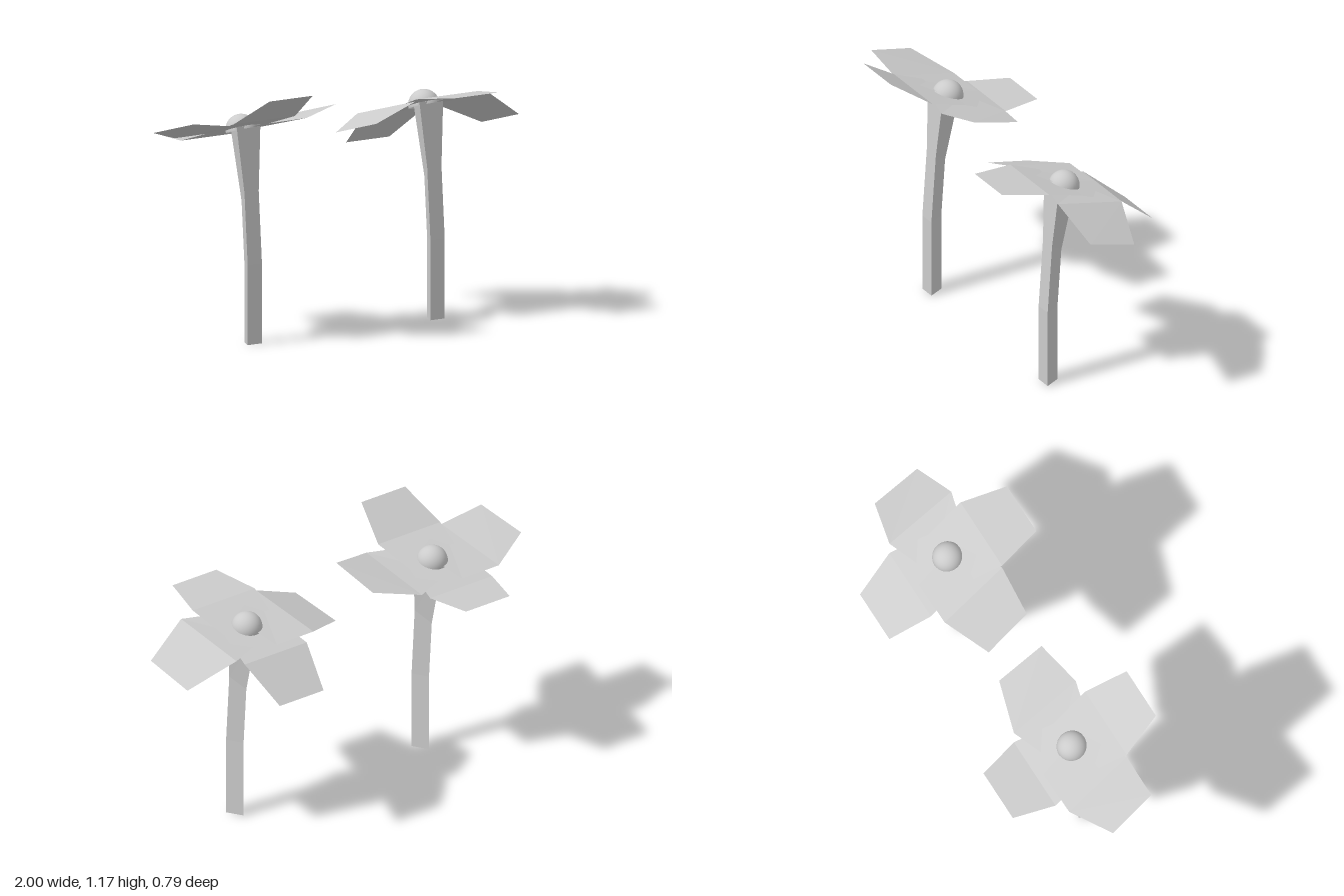
import * as THREE from 'three';

const grey = new THREE.MeshStandardMaterial({ color: 0xcccccc, flatShading: true, side: THREE.DoubleSide });
const smooth = new THREE.MeshStandardMaterial({ color: 0xcccccc, side: THREE.DoubleSide });

const SLOPE = 0.32; // backward tilt of the flower head
const headY = (z) => 0.984 + SLOPE * z;

// Joins equal-length cross-sections into a faceted surface
function loft(rows, closed, caps) {
  const n = rows[0].length;
  const index = [];
  for (let r = 0; r < rows.length - 1; r++) {
    for (let i = 0; i < (closed ? n : n - 1); i++) {
      const a = r * n + i, b = r * n + (i + 1) % n;
      index.push(a, b, b + n, a, b + n, a + n);
    }
  }
  if (caps) {
    const t = (rows.length - 1) * n;
    for (let i = 1; i < n - 1; i++) index.push(0, i + 1, i, t, t + i, t + i + 1);
  }
  const g = new THREE.BufferGeometry();
  g.setAttribute('position', new THREE.Float32BufferAttribute(rows.flat(2), 3));
  g.setIndex(index);
  const flat = g.toNonIndexed();
  flat.computeVertexNormals();
  return flat;
}

function addMesh(group, name, geometry, material = grey) {
  const mesh = new THREE.Mesh(geometry, material);
  mesh.name = name;
  group.add(mesh);
  return mesh;
}

// Petal row lying across x
const across = (half, y, z) => [[-half, y, z], [half, y, z]];

function createFlower(name, x, tips) {
  const flower = new THREE.Group();
  flower.name = name;
  flower.position.x = x;

  // Triangular stem, flat in front, ridge at the back, flaring at the top
  const section = (half, zFront, yFront, zBack, yBack) =>
    [[-half, yFront, zFront], [half, yFront, zFront], [0, yBack, zBack]];
  addMesh(flower, 'stem', loft([
    section(0.042, 0.105, 0, 0.03, 0),
    section(0.042, 0.105, 0.37, 0.03, 0.37),
    section(0.042, 0.082, 0.7, 0.01, 0.65),
    section(0.07, 0.06, headY(0.06), -0.065, headY(-0.065)),
  ], true, true));

  // Front and back petals, sharing a narrow waist
  const waist = across(0.145, headY(-0.015), -0.015);
  addMesh(flower, 'frontPetal', loft([
    waist, across(0.18, 1.043, 0.175), across(0.127, tips.front[0], tips.front[1])]));
  addMesh(flower, 'backPetal', loft([
    waist, across(0.18, 0.918, -0.205), across(0.127, tips.back[0], tips.back[1])]));

  // Side petals, slightly twisted; each row runs from back to front
  addMesh(flower, 'rightPetal', loft([
    [[-0.03, 0.94, -0.175], [0.03, 1.01, 0.055]],
    [[-0.245, 0.94, -0.172], [-0.185, 1.033, 0.172]],
    [[-0.457, tips.right, -0.068], [-0.41, tips.right + 0.065, 0.165]]]));
  addMesh(flower, 'leftPetal', loft([
    [[-0.01, 0.945, -0.1], [0.02, 1.01, 0.11]],
    [[0.212, 0.937, -0.185], [0.252, 1.025, 0.17]],
    [[0.445, tips.left, -0.12], [0.467, tips.left + 0.065, 0.12]]]));

  // Domed centre, tilted with the head
  const dome = addMesh(flower, 'flowerCentre',
    new THREE.SphereGeometry(0.072, 32, 12, 0, Math.PI * 2, 0, Math.PI * 0.52), smooth);
  dome.position.set(0.006, 0.976, 0);
  dome.rotation.x = -Math.atan(SLOPE);
  return flower;
}

export function createModel() {
  const model = new THREE.Group();
  model.name = 'flowerPair';
  model.add(
    createFlower('raisedFlower', -0.545, { front: [1.166, 0.365], back: [0.91, -0.4], right: 1.0, left: 0.995 }),
    createFlower('droopingFlower', 0.532, { front: [1.07, 0.39], back: [0.765, -0.395], right: 0.888, left: 0.834 }),
  );
  return model;
}
